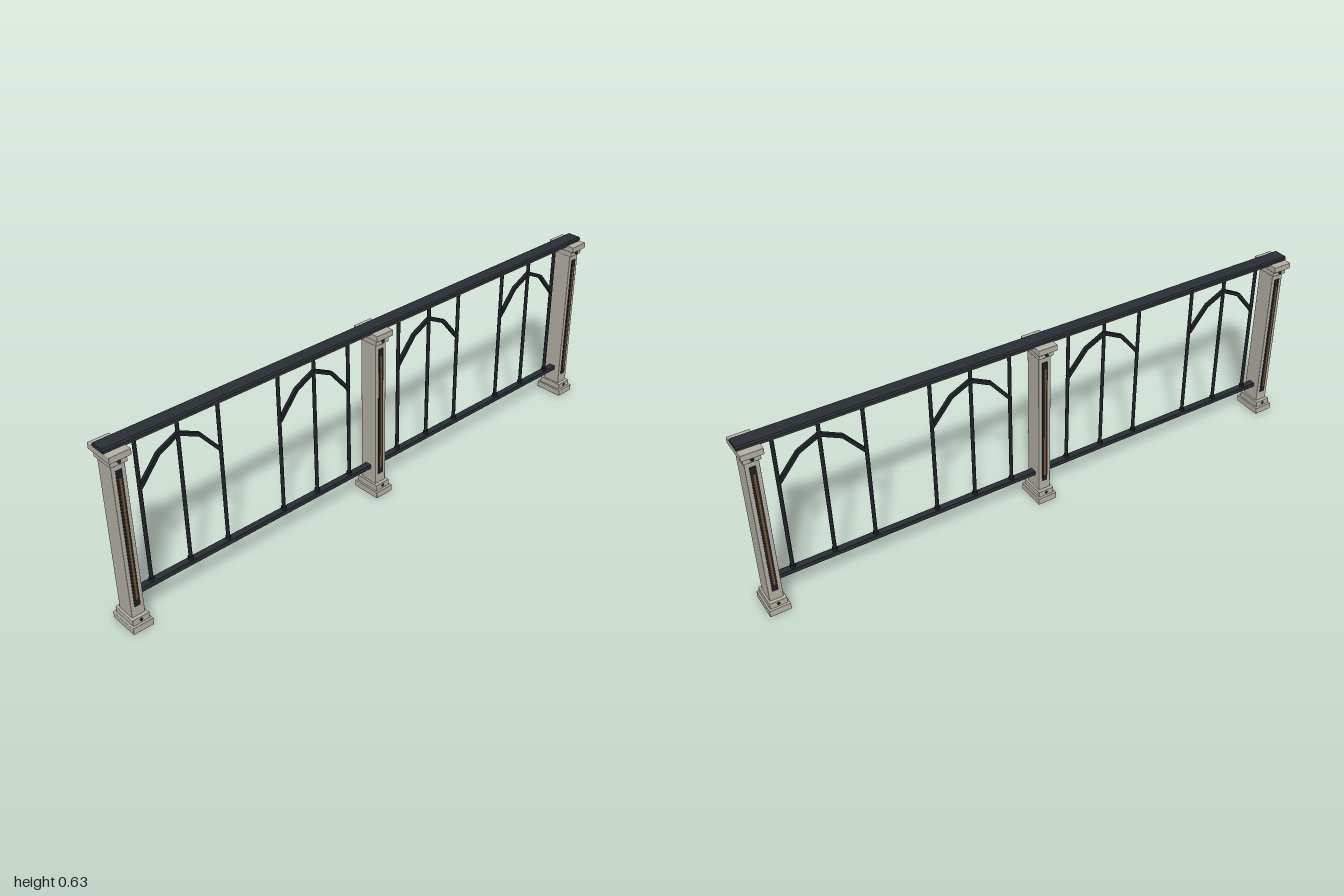
import * as THREE from 'three';
import { RoundedBoxGeometry } from 'three/addons/geometries/RoundedBoxGeometry.js';

const mat = (color) => new THREE.MeshStandardMaterial({ color });
const stone = mat(0xb5b1a5), iron = mat(0x1d2125), railDark = mat(0x282e34), bronze = mat(0x7a5530);

function add(parent, name, geometry, material, x = 0, y = 0, z = 0) {
  const mesh = new THREE.Mesh(geometry, material);
  mesh.name = name;
  mesh.position.set(x, y, z);
  parent.add(mesh);
  return mesh;
}

// Block between two heights with slightly eased edges
function block(parent, name, w, y0, y1, d, material, x = 0, z = 0, ease = 0.002) {
  return add(parent, name, new RoundedBoxGeometry(w, y1 - y0, d, 1, ease), material, x, (y0 + y1) / 2, z);
}

function createPost(x) {
  const post = new THREE.Group();
  post.name = 'post';
  post.position.x = x;
  block(post, 'postBase', 0.07, 0, 0.024, 0.106, stone);
  block(post, 'postBaseStep', 0.058, 0.023, 0.045, 0.09, stone);
  block(post, 'postShaft', 0.045, 0.044, 0.576, 0.066, stone);
  block(post, 'postNeck', 0.055, 0.575, 0.598, 0.082, stone);
  block(post, 'postCap', 0.07, 0.597, 0.618, 0.106, stone);
  for (const s of [1, -1]) {
    // Inset panel with a slim bronze strip
    add(post, 'postPanel', new THREE.BoxGeometry(0.02, 0.475, 0.004), iron, 0, 0.3175, s * 0.033);
    add(post, 'postPanelStrip', new THREE.BoxGeometry(0.007, 0.425, 0.004), bronze, 0, 0.3175, s * 0.0345);
    // Domed studs on base and neck
    for (const [y, z] of [[0.035, 0.044], [0.587, 0.0435]]) {
      const stud = add(post, 'stud', new THREE.SphereGeometry(0.0055, 10, 8), iron, 0, y, s * z);
      stud.scale.z = 0.9;
    }
  }
  return post;
}

// Pointed arch: a mitred flat band following five points
function archGeometry() {
  const pts = [[-0.14, 0.44], [-0.07, 0.525], [0, 0.56], [0.07, 0.525], [0.14, 0.44]]
    .map((p) => new THREE.Vector2(...p));
  const half = 0.006, outer = [], inner = [];
  pts.forEach((p, i) => {
    const normal = (a, b) => {
      const d = b.clone().sub(a).normalize();
      return new THREE.Vector2(-d.y, d.x);
    };
    const n0 = normal(pts[Math.max(i - 1, 0)], pts[Math.max(i, 1)]);
    const n1 = normal(pts[Math.min(i, 3)], pts[Math.min(i + 1, 4)]);
    const m = n0.clone().add(n1).normalize();
    m.multiplyScalar(half / m.dot(n0));
    outer.push(p.clone().add(m));
    inner.unshift(p.clone().sub(m));
  });
  return new THREE.ExtrudeGeometry(new THREE.Shape([...outer, ...inner]), { depth: 0.012, bevelEnabled: false })
    .translate(0, 0, -0.006);
}

// Three balusters with collars, joined by an arch
function createBalusterSet(x) {
  const set = new THREE.Group();
  set.name = 'balusterSet';
  set.position.x = x;
  for (const bx of [-0.14, 0, 0.14]) {
    add(set, 'baluster', new THREE.CylinderGeometry(0.0062, 0.0062, 0.515, 10), iron, bx, 0.3625, 0);
    for (const y of [0.117, 0.61]) {
      add(set, 'collar', new THREE.CylinderGeometry(0.009, 0.009, 0.01, 10), iron, bx, y, 0);
    }
  }
  add(set, 'arch', archGeometry(), iron);
  return set;
}

export function createModel() {
  const railing = new THREE.Group();
  railing.name = 'railing';

  for (const x of [-0.965, 0, 0.965]) railing.add(createPost(x));
  for (const x of [-0.75, -0.25, 0.25, 0.75]) railing.add(createBalusterSet(x));

  // Handrail with chamfered top edges
  const profile = new THREE.Shape();
  [[-0.027, 0.617], [0.027, 0.617], [0.027, 0.626], [0.023, 0.631], [-0.023, 0.631], [-0.027, 0.626]]
    .forEach(([a, b], i) => (i ? profile.lineTo(a, b) : profile.moveTo(a, b)));
  const handrail = new THREE.ExtrudeGeometry(profile, { depth: 2, bevelEnabled: false })
    .translate(0, 0, -1).rotateY(Math.PI / 2);
  add(railing, 'handrail', handrail, railDark);

  for (const s of [1, -1]) {
    // Bronze trim under the handrail edges, and lower rail for each bay
    for (const z of [0.024, -0.024]) {
      add(railing, 'handrailTrim', new THREE.BoxGeometry(0.9, 0.004, 0.004), bronze, s * 0.4825, 0.616, z);
    }
    block(railing, 'bottomRail', 0.93, 0.096, 0.112, 0.024, railDark, s * 0.4825);
  }
  return railing;
}
